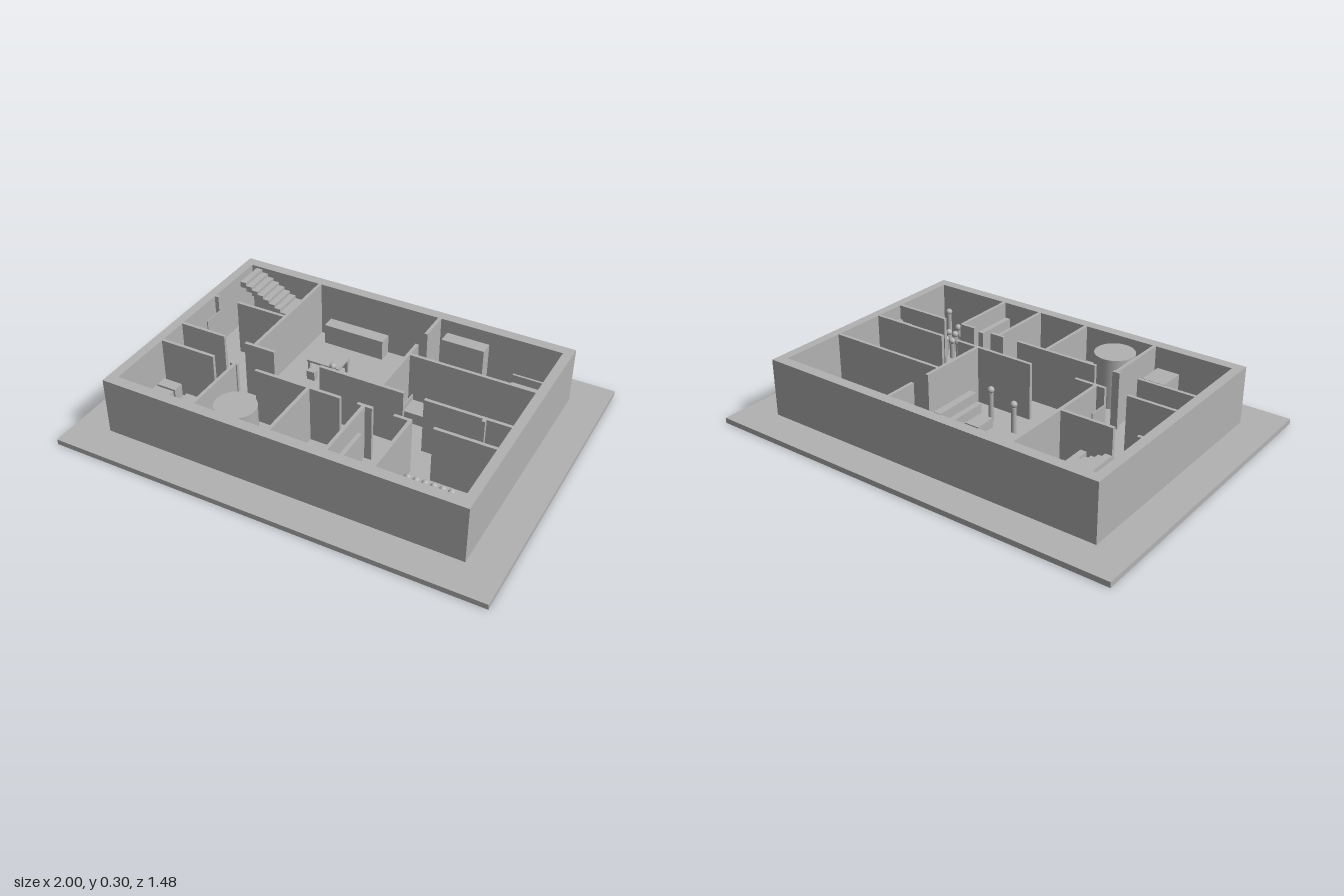
import * as THREE from 'three';

const FLOOR = 0.025, TOP = 0.295;

export function createModel() {
  const model = new THREE.Group();
  model.name = 'floorPlanModel';
  const plaster = new THREE.MeshStandardMaterial({ color: 0xb2b2b2 });
  plaster.name = 'plaster grey';

  const group = (name) => {
    const g = new THREE.Group();
    g.name = name;
    model.add(g);
    return g;
  };
  const add = (parent, name, geo, x, y, z) => {
    const m = new THREE.Mesh(geo, plaster);
    m.name = name;
    m.position.set(x, y, z);
    parent.add(m);
    return m;
  };
  // Box given by its plan rectangle and its bottom and top heights
  const block = (parent, name, x0, x1, z0, z1, top, bottom = FLOOR) =>
    add(parent, name, new THREE.BoxGeometry(x1 - x0, top - bottom, z1 - z0),
      (x0 + x1) / 2, (top + bottom) / 2, (z0 + z1) / 2);
  const drum = (parent, name, x, z, r, top, bottom = FLOOR, sides = 40) =>
    add(parent, name, new THREE.CylinderGeometry(r, r, top - bottom, sides), x, (top + bottom) / 2, z);

  // Ground slab
  block(model, 'baseSlab', -1, 1, -0.74, 0.74, FLOOR, 0);

  // Outer wall ring
  const ring = new THREE.Shape([[-0.838, -0.581], [0.838, -0.581], [0.838, 0.581], [-0.838, 0.581]]
    .map(([x, y]) => new THREE.Vector2(x, y)));
  ring.holes.push(new THREE.Path([[-0.795, -0.531], [-0.795, 0.531], [0.795, 0.531], [0.795, -0.531]]
    .map(([x, y]) => new THREE.Vector2(x, y))));
  const ringGeo = new THREE.ExtrudeGeometry(ring, { depth: TOP - FLOOR, bevelEnabled: false });
  ringGeo.rotateX(-Math.PI / 2);
  add(model, 'outerWalls', ringGeo, 0, FLOOR, 0);

  // Inner walls, with gaps left as doorways
  const walls = group('innerWalls');
  const T = 0.008;
  const wallX = (z, ...spans) => spans.forEach(([a, b]) => block(walls, 'partition', a, b, z - T, z + T, TOP));
  const wallZ = (x, ...spans) => spans.forEach(([a, b]) => block(walls, 'partition', x - T, x + T, a, b, TOP));
  wallX(-0.21, [-0.795, -0.775], [-0.67, -0.424], [0.217, 0.795]);
  wallX(0.055, [-0.795, -0.569], [-0.462, -0.312], [-0.084, 0.315], [0.408, 0.795]);
  wallX(0.21, [-0.795, -0.526], [-0.438, -0.403], [-0.314, 0.098], [0.178, 0.248], [0.344, 0.424], [0.521, 0.795]);
  wallZ(-0.416, [-0.531, 0.047], [0.218, 0.531]);
  wallZ(0.208, [-0.531, -0.384], [-0.293, 0.047], [0.218, 0.531]);
  wallZ(-0.052, [0.218, 0.531]);
  wallZ(0.418, [0.218, 0.531]);
  block(walls, 'pier', 0.67, 0.687, 0.063, 0.08, TOP);

  // Open door leaves
  const doors = group('doors');
  block(doors, 'doorLeaf', -0.468, -0.463, -0.047, 0.047, 0.22);
  block(doors, 'doorLeaf', -0.777, -0.772, -0.202, -0.1, 0.22);
  block(doors, 'doorLeaf', 0.578, 0.665, 0.177, 0.182, 0.22);
  block(doors, 'doorLeaf', 0.713, 0.77, 0.188, 0.193, 0.22);

  // Two flights of stairs
  const stairs = group('stairs');
  for (let i = 0; i < 8; i++) {
    const x = -0.77 + i * 0.031, y = 0.285 - i * 0.0155;
    block(stairs, 'upperStep', x, x + 0.031, -0.531, -0.384, y, y - 0.03);
  }
  block(stairs, 'landing', -0.668, -0.525, -0.384, -0.368, 0.165, 0.145);
  for (let i = 0; i < 5; i++) {
    const x = -0.553 - i * 0.0287, y = 0.15 - i * 0.024;
    block(stairs, 'lowerStep', x, x + 0.0287, -0.384, -0.218, y, Math.max(FLOOR, y - 0.035));
  }

  // Living room: sideboard, dining set, low table and sofa
  const living = group('livingRoom');
  block(living, 'sideboard', -0.352, -0.044, -0.523, -0.459, 0.125);
  block(living, 'tableTop', -0.301, -0.135, -0.304, -0.199, 0.1, 0.09);
  for (const x of [-0.292, -0.144]) for (const z of [-0.295, -0.208])
    block(living, 'tableLeg', x - 0.006, x + 0.006, z - 0.006, z + 0.006, 0.09);
  for (const x of [-0.26, -0.177]) for (const z of [-0.329, -0.174])
    block(living, 'chair', x - 0.02, x + 0.02, z - 0.015, z + 0.015, 0.07);
  block(living, 'lowTable', 0.004, 0.074, -0.207, -0.103, 0.07);
  block(living, 'sofaSeat', 0.12, 0.148, -0.282, -0.033, 0.075);
  block(living, 'sofaBack', 0.148, 0.185, -0.282, -0.033, 0.12);

  // Bedrooms
  const beds = group('bedrooms');
  block(beds, 'wardrobe', 0.253, 0.459, -0.523, -0.459, 0.235);
  block(beds, 'doubleBed', 0.585, 0.77, -0.512, -0.304, 0.08);
  block(beds, 'headboard', 0.585, 0.77, -0.523, -0.512, 0.12);
  block(beds, 'singleBed', 0.25, 0.449, -0.18, -0.087, 0.08);
  block(beds, 'headboard', 0.245, 0.25, -0.18, -0.087, 0.11);
  block(beds, 'singleBed', 0.566, 0.765, -0.18, -0.087, 0.08);
  block(beds, 'headboard', 0.765, 0.77, -0.18, -0.087, 0.11);
  block(beds, 'chest', 0.606, 0.77, -0.036, 0.026, 0.11);

  // Entrance, utility, tank, bath and storage rooms
  const rooms = group('serviceRooms');
  block(rooms, 'desk', -0.778, -0.638, -0.052, 0.031, 0.11);
  for (const z of [0.281, 0.343, 0.409, 0.471])
    block(rooms, 'machine', -0.775, -0.681, z - 0.026, z + 0.026, 0.12);
  drum(rooms, 'bin', -0.62, 0.454, 0.032, 0.11);
  block(rooms, 'cupboard', -0.555, -0.446, 0.387, 0.518, 0.2);
  drum(rooms, 'roundTank', -0.277, 0.427, 0.093, 0.265);
  block(rooms, 'counter', -0.143, -0.074, 0.342, 0.518, 0.13);
  block(rooms, 'shower', -0.025, 0.079, 0.42, 0.518, 0.07);
  block(rooms, 'toilet', 0.119, 0.157, 0.457, 0.51, 0.08);
  block(rooms, 'basin', 0.13, 0.181, 0.237, 0.299, 0.12);
  block(rooms, 'shelf', 0.229, 0.248, 0.304, 0.516, 0.225);
  block(rooms, 'shelf', 0.373, 0.4, 0.304, 0.516, 0.225);

  // Simple figures: a post body with a round head
  const people = group('figures');
  const figure = (name, x, z, top) => {
    drum(people, name + 'Body', x, z, 0.012, top - 0.028, FLOOR, 16);
    add(people, name + 'Head', new THREE.SphereGeometry(0.016, 16, 12), x, top - 0.016, z);
  };
  for (const [x, z] of [[-0.116, -0.113], [0.044, -0.063], [-0.668, 0.13], [0.732, 0.491]])
    figure('standing', x, z, 0.195);
  for (const z of [0.339, 0.409, 0.481])
    for (let i = 0; i < 6; i++) figure('seated', 0.475 + i * 0.0385, z, 0.13);

  return model;
}
